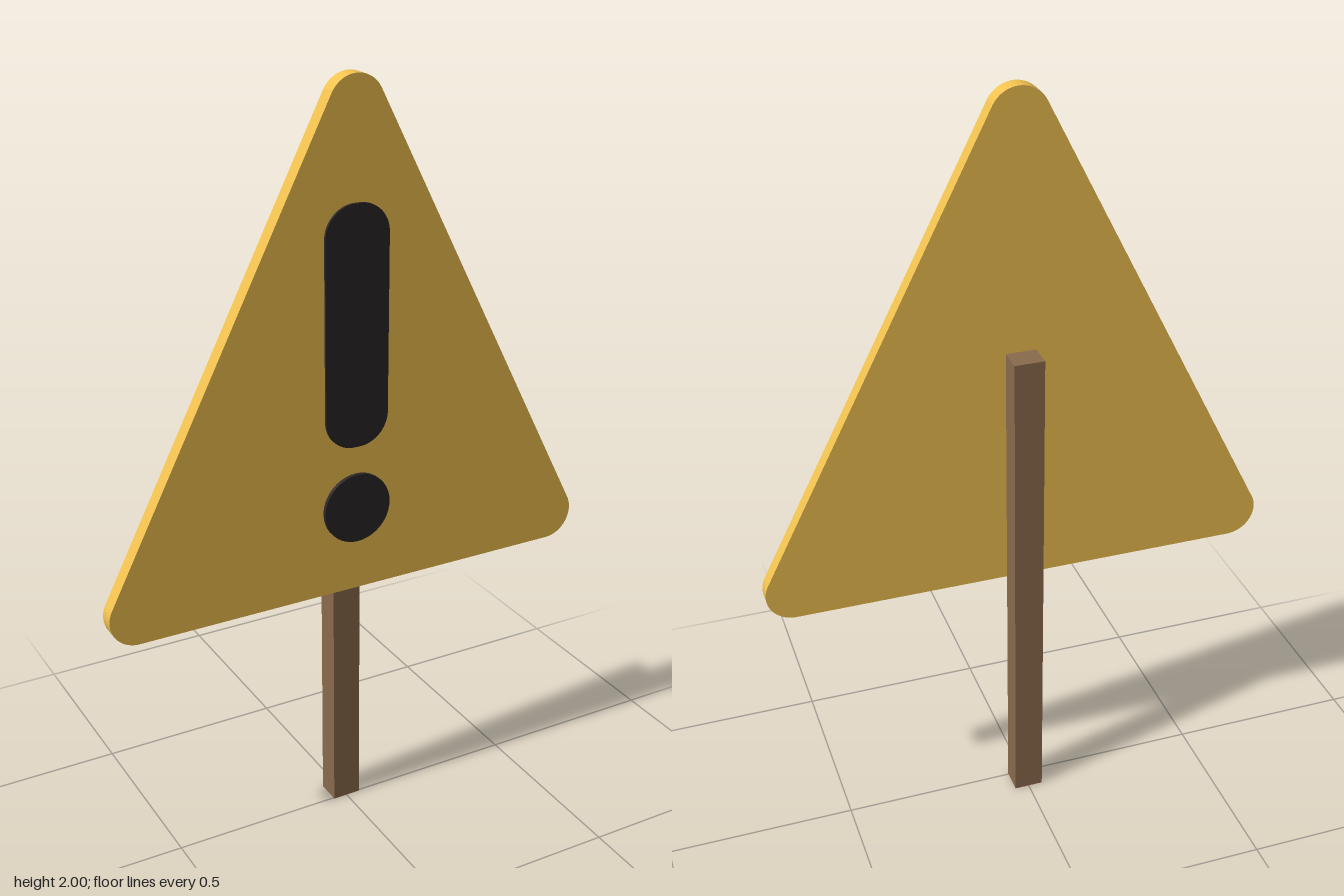
import * as THREE from 'three';

const material = (color) => new THREE.MeshStandardMaterial({ color });

// Convex outline with round corners: each corner is [x, y, startAngle, endAngle], counter-clockwise
function roundedShape(corners, radius) {
  const shape = new THREE.Shape();
  corners.forEach(([x, y, from, to], i) => {
    if (i === 0) shape.moveTo(x + radius * Math.cos(from), y + radius * Math.sin(from));
    shape.absarc(x, y, radius, from, to, false);
  });
  shape.closePath();
  return shape;
}

// Flat slab of a shape between two depths
function slab(name, shape, back, front, mat) {
  const geometry = new THREE.ExtrudeGeometry(shape, { depth: front - back, bevelEnabled: false, curveSegments: 16 });
  const mesh = new THREE.Mesh(geometry, mat);
  mesh.name = name;
  mesh.position.z = back;
  return mesh;
}

export function createModel() {
  const group = new THREE.Group();
  group.name = 'warningSign';
  const dark = material(0x2b2628);
  const quarter = Math.PI / 2;

  // Wooden post
  const post = new THREE.Mesh(new THREE.BoxGeometry(0.078, 1.34, 0.067), material(0x8a6b4d));
  post.name = 'post';
  post.position.set(0, 0.67, -0.0295);
  group.add(post);

  // Triangular plate with rounded corners
  const r = 0.074;
  const slope = Math.atan2(1.172, 0.601);
  const sideAngle = quarter - slope;
  const triangle = roundedShape([
    [0.601, 0.68 + r, -quarter, sideAngle],
    [0, 2 - r, sideAngle, Math.PI - sideAngle],
    [-0.601, 0.68 + r, Math.PI - sideAngle, 3 * quarter],
  ], r);
  group.add(slab('plate', triangle, 0.01, 0.052, material(0xf2c250)));

  // Long bar of the warning mark
  const b = 0.08, x = 0.087 - b, low = 1.08 + b, high = 1.7 - b;
  const bar = roundedShape([
    [x, low, -quarter, 0],
    [x, high, 0, quarter],
    [-x, high, quarter, 2 * quarter],
    [-x, low, 2 * quarter, 3 * quarter],
  ], b);
  group.add(slab('markBar', bar, 0.05, 0.059, dark));

  // Round dot below the bar
  const dot = new THREE.Mesh(new THREE.CylinderGeometry(0.093, 0.093, 0.013, 40), dark);
  dot.name = 'markDot';
  dot.rotation.x = quarter;
  dot.position.set(0, 0.912, 0.0565);
  group.add(dot);

  return group;
}
